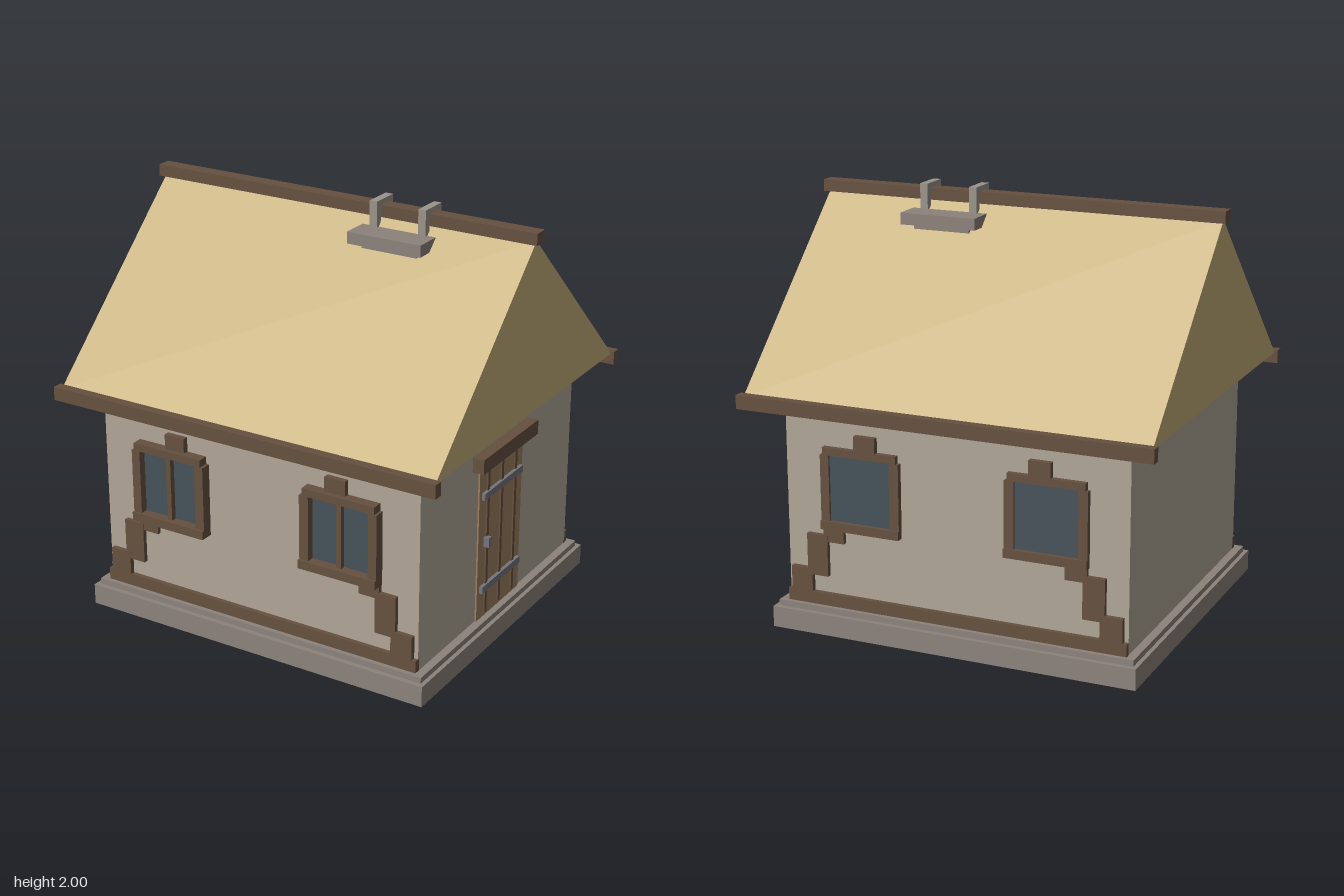
import * as THREE from 'three';

const mat = (color) => new THREE.MeshStandardMaterial({ color });

export function createModel() {
  const house = new THREE.Group();
  house.name = 'cottage';
  const wood = mat(0x66503f), stone = mat(0x8c827b), plaster = mat(0xb0a696), straw = mat(0xc4ad78);
  const glass = mat(0x46525a), plank = mat(0x9c7f5e), iron = mat(0x74757c), strapMat = mat(0x9a938a);

  // Box given by its extents on each axis
  const box = (parent, name, m, [x0, x1], [y0, y1], [z0, z1]) => {
    const mesh = new THREE.Mesh(new THREE.BoxGeometry(x1 - x0, y1 - y0, z1 - z0), m);
    mesh.position.set((x0 + x1) / 2, (y0 + y1) / 2, (z0 + z1) / 2);
    mesh.name = name;
    parent.add(mesh);
    return mesh;
  };
  const group = (name) => {
    const g = new THREE.Group();
    g.name = name;
    house.add(g);
    return g;
  };

  // Stone base and walls
  box(house, 'plinth', stone, [-0.9, 0.9], [0, 0.1], [-0.8, 0.8]);
  box(house, 'plinthStep', stone, [-0.88, 0.88], [0.1, 0.128], [-0.775, 0.775]);
  box(house, 'walls', plaster, [-0.84, 0.84], [0.128, 1.1], [-0.73, 0.73]);
  box(house, 'wallPlate', wood, [-0.86, 0.86], [1.057, 1.118], [-0.755, 0.755]);

  // Solid gabled roof, extruded along the ridge
  const gable = new THREE.Shape([[-0.86, 1.12], [0.86, 1.12], [0, 1.93]].map((p) => new THREE.Vector2(...p)));
  const roofGeo = new THREE.ExtrudeGeometry(gable, { depth: 1.96, bevelEnabled: false });
  roofGeo.translate(0, 0, -0.98).rotateY(Math.PI / 2);
  const roof = new THREE.Mesh(roofGeo, straw);
  roof.name = 'thatchedRoof';
  house.add(roof);
  box(house, 'ridgeBeam', wood, [-1, 1], [1.92, 1.975], [-0.036, 0.036]);

  // Range between two values, mirrored when s is -1
  const span = (s, a, b) => (s > 0 ? [a, b] : [-b, -a]);

  for (const s of [1, -1]) {
    const side = s > 0 ? 'front' : 'back';
    const frameZ = s > 0 ? 0.782 : 0.757;
    const sillZ = s > 0 ? 0.795 : 0.767;
    box(house, side + 'EaveBeam', wood, [-1, 1], [1.07, 1.135], span(s, 0.847, 0.894));
    box(house, side + 'SillBeam', wood, [-0.84, 0.84], [0.128, 0.187], span(s, 0.72, 0.753));

    // Windows with the stepped timbers below them
    for (const h of [1, -1]) {
      const win = group(side + (h > 0 ? 'Left' : 'Right') + 'Window');
      const part = (name, m, x0, x1, y0, y1, z) =>
        box(win, name, m, span(h, x0, x1), [y0, y1], span(s, 0.715, z));
      part('glass', glass, 0.28, 0.64, 0.53, 0.87, 0.745);
      part('innerJamb', wood, 0.258, 0.305, 0.545, 0.86, frameZ);
      part('outerJamb', wood, 0.61, 0.654, 0.545, 0.86, frameZ);
      if (s > 0) part('mullion', wood, 0.444, 0.469, 0.545, 0.86, 0.772);
      part('sill', wood, 0.258, 0.654, 0.505, 0.547, sillZ);
      part('lintel', wood, 0.272, 0.642, 0.86, 0.896, frameZ);
      part('lintelBlock', wood, 0.375, 0.48, 0.896, 0.967, 0.758);
      part('upperStep', wood, 0.545, 0.65, 0.44, 0.506, 0.75);
      part('middleStep', wood, 0.63, 0.735, 0.27, 0.47, 0.752);
      part('lowerStep', wood, 0.712, 0.82, 0.187, 0.3, 0.754);
    }
  }

  // Plank door in the gable wall
  const door = group('door');
  box(door, 'doorPanel', plank, [0.82, 0.848], [0.128, 0.89], [-0.207, 0.207]);
  box(door, 'doorLintel', wood, [0.82, 0.896], [0.905, 0.976], [-0.265, 0.265]);
  for (const z of [-0.132, 0, 0.132]) {
    box(door, 'doorBatten', wood, [0.84, 0.856], [0.147, 0.88], [z - 0.01, z + 0.01]);
  }
  for (const y of [0.282, 0.754]) {
    box(door, 'doorStrap', iron, [0.84, 0.865], [y - 0.017, y + 0.017], [-0.185, 0.185]);
  }
  box(door, 'doorHandle', iron, [0.84, 0.876], [0.492, 0.54], [0.13, 0.156]);

  // Stone weights slung over the ridge
  const weights = group('ridgeWeights');
  for (const s of [1, -1]) {
    box(weights, 'weightSlab', stone, [0.14, 0.515], [1.825, 1.88], span(s, 0.055, 0.19));
    box(weights, 'weightFoot', stone, [0.19, 0.47], [1.8, 1.826], span(s, 0.05, 0.145));
  }
  for (const x of [0.204, 0.453]) {
    box(weights, 'strapTop', strapMat, [x - 0.019, x + 0.019], [1.973, 2], [-0.07, 0.07]);
    for (const s of [1, -1]) {
      box(weights, 'strapLeg', strapMat, [x - 0.019, x + 0.019], [1.86, 1.975], span(s, 0.036, 0.07));
    }
  }
  return house;
}
